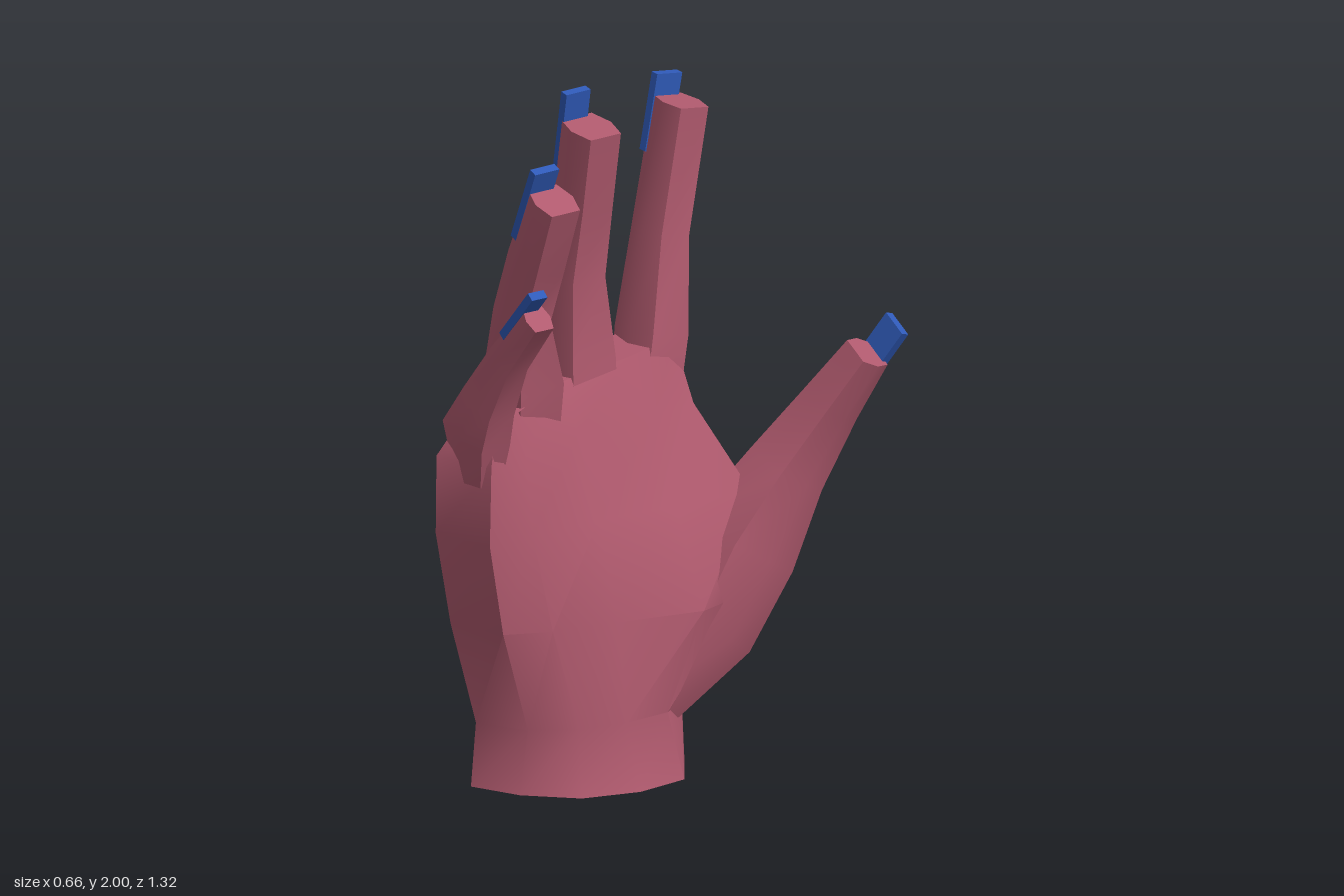
import * as THREE from 'three';
import { toCreasedNormals } from 'three/addons/utils/BufferGeometryUtils.js';

const V = (x, y, z) => new THREE.Vector3(x, y, z);

// Skins a stack of equal-length rings (counter-clockwise from the tip end) and caps the last one
function loft(rings) {
  const n = rings[0].length, index = [];
  const points = rings.flat();
  for (let i = 0; i < rings.length - 1; i++) {
    for (let j = 0; j < n; j++) {
      const a = i * n + j, b = i * n + (j + 1) % n;
      index.push(a, b, b + n, a, b + n, a + n);
    }
  }
  const last = rings[rings.length - 1], base = (rings.length - 1) * n;
  const centre = last.reduce((s, p) => s.add(p), V(0, 0, 0)).divideScalar(n);
  points.push(centre);
  for (let j = 0; j < n; j++) index.push(base + j, base + (j + 1) % n, points.length - 1);
  const geometry = new THREE.BufferGeometry().setFromPoints(points);
  geometry.setIndex(index);
  return toCreasedNormals(geometry, 0.7);
}

// Palm outlines: height, slope of the height along z, then [x, z] points
// running little-finger edge, palm, thumb edge, back of hand
const palmLevels = [
  [0, 0, [[-.18, .5], [-.03, .44], [.1, .32], [.15, .15], [.13, -.02], [0, -.12], [-.16, -.11], [-.28, -.03], [-.33, .17], [-.28, .4]]],
  [.19, 0, [[-.17, .49], [-.02, .42], [.06, .3], [.09, .15], [.08, 0], [0, -.11], [-.13, -.11], [-.24, -.03], [-.29, .17], [-.26, .38]]],
  [.5, 0, [[-.17, .58], [.01, .53], [.07, .4], [.11, .2], [.17, -.06], [.12, -.22], [-.1, -.22], [-.26, -.08], [-.315, .17], [-.28, .42]]],
  [.78, 0, [[-.16, .64], [.04, .6], [.03, .44], [.02, .2], [.05, -.05], [.06, -.31], [-.13, -.3], [-.28, -.11], [-.32, .17], [-.27, .45]]],
  [1.02, 0, [[-.13, .66], [.06, .61], [.01, .45], [-.05, .22], [-.05, -.05], [-.09, -.22], [-.21, -.235], [-.3, -.12], [-.32, .15], [-.25, .46]]],
  [1.19, -.12, [[-.1, .6], [.04, .58], [-.06, .42], [-.11, .22], [-.11, 0], [-.13, -.18], [-.2, -.21], [-.28, -.12], [-.28, .15], [-.2, .44]]],
];

// Digits: sideways axis; nail length, width and shift along the digit;
// then rows of x, y, z, width, depth
const acrossHand = V(0, 0, 1);
const digits = [
  { name: 'indexFinger', side: acrossHand, nail: [.23, .09, -.05], rows: [
    [-.19, 1, -.12, .16, .16], [-.2, 1.22, -.155, .165, .18], [-.225, 1.5, -.205, .13, .14], [-.195, 1.88, -.255, .13, .13]] },
  { name: 'middleFinger', side: acrossHand, nail: [.29, .085, -.06], rows: [
    [-.18, 1, .12, .2, .18], [-.2, 1.2, .12, .2, .19], [-.19, 1.45, .13, .15, .15], [-.145, 1.67, .13, .14, .14], [-.1, 1.9, .135, .14, .14]] },
  { name: 'ringFinger', side: acrossHand, nail: [.24, .085, -.05], rows: [
    [-.14, 1, .34, .18, .14], [-.12, 1.19, .36, .2, .18], [-.08, 1.4, .395, .13, .14], [0, 1.58, .405, .13, .14], [.09, 1.78, .41, .13, .12]] },
  { name: 'littleFinger', side: acrossHand, nail: [.2, .055, -.035], rows: [
    [-.04, .96, .58, .1, .12], [-.03, 1.1, .595, .13, .19], [.035, 1.21, .6, .115, .14], [.13, 1.36, .6, .09, .1], [.265, 1.51, .6, .085, .08]] },
  { name: 'thumb', side: V(-1, 0, .12), nail: [.2, .09, .005], rows: [
    [0, .2, 0, .14, .14], [.02, .4, -.17, .25, .24], [.04, .62, -.29, .27, .26], [.08, .83, -.42, .2, .18], [.17, 1.03, -.51, .15, .13], [.26, 1.19, -.57, .12, .1]] },
];

// Hexagonal digit section as fractions of width and depth
const section = [[.5, 0], [.38, .5], [-.38, .5], [-.5, 0], [-.38, -.5], [.38, -.5]];

export function createModel() {
  const hand = new THREE.Group();
  hand.name = 'hand';
  const skin = new THREE.MeshStandardMaterial({ color: 0xb05a6e, side: THREE.DoubleSide });
  const polish = new THREE.MeshStandardMaterial({ color: 0x2f5ab8 });
  const add = (name, geometry, material) => {
    const mesh = new THREE.Mesh(geometry, material);
    mesh.name = name;
    hand.add(mesh);
    return mesh;
  };

  // Palm and wrist, open at the bottom
  add('palm', loft(palmLevels.map(([y, slope, pts]) => pts.map(([x, z]) => V(x, y + slope * z, z)))), skin);

  for (const { name, side, nail, rows } of digits) {
    const centres = rows.map(([x, y, z]) => V(x, y, z));
    const end = rows.length - 1;
    let frame;
    const rings = rows.map(([, , , w, d], i) => {
      // Local frame: along the digit, sideways, and towards the palm
      const along = centres[Math.min(i + 1, end)].clone().sub(centres[Math.max(i - 1, 0)]).normalize();
      const across = side.clone().addScaledVector(along, -side.dot(along)).normalize();
      const inward = along.clone().cross(across);
      frame = { along, across, inward, d };
      return section.map(([u, v]) =>
        centres[i].clone().addScaledVector(across, u * w).addScaledVector(inward, v * d));
    });
    add(name, loft(rings), skin);

    // Long nail lying on the back of the tip
    const { along, across, inward, d } = frame;
    const [length, width, lift] = nail;
    const plate = add(name + 'Nail', new THREE.BoxGeometry(.026, length, width), polish);
    plate.quaternion.setFromRotationMatrix(new THREE.Matrix4().makeBasis(inward, along, across));
    plate.position.copy(centres[end])
      .addScaledVector(inward, -d / 2)
      .addScaledVector(along, lift)
      .addScaledVector(across, .012);
  }
  return hand;
}
